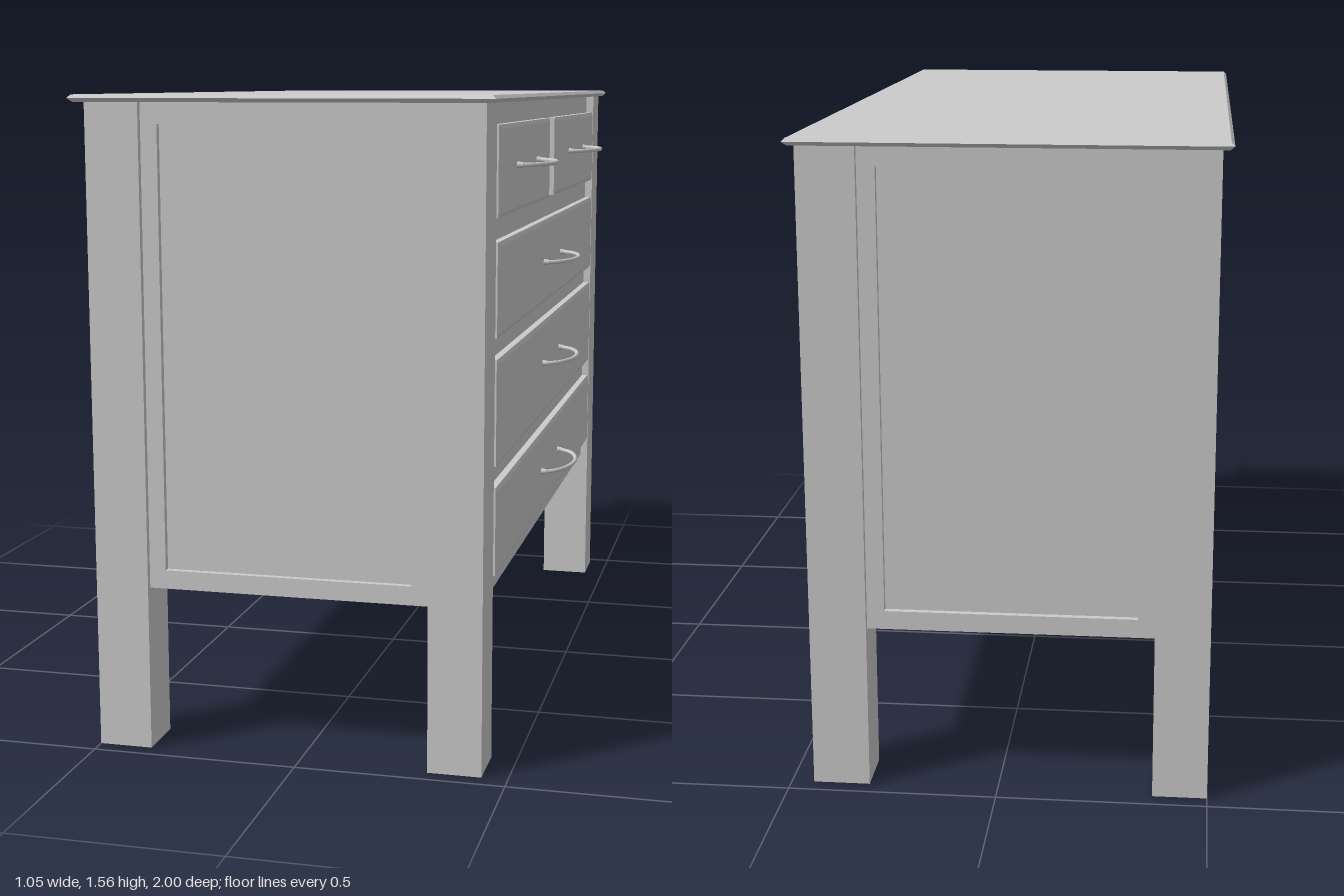
import * as THREE from 'three';
import { ConvexGeometry } from 'three/addons/geometries/ConvexGeometry.js';

const material = new THREE.MeshStandardMaterial({ color: 0xcccccc });

export function createModel() {
  const model = new THREE.Group();

  function add(name, geometry, parent = model) {
    const mesh = new THREE.Mesh(geometry, material);
    mesh.name = name;
    parent.add(mesh);
    return mesh;
  }

  // Box given by its limits on each axis
  function box(name, x0, x1, y0, y1, z0, z1) {
    const g = new THREE.BoxGeometry(x1 - x0, y1 - y0, z1 - z0);
    g.translate((x0 + x1) / 2, (y0 + y1) / 2, (z0 + z1) / 2);
    return add(name, g);
  }

  // Table top: slab with a pointed, chamfered rim
  const rim = [];
  for (const [y, inset] of [[1.54, 0.01], [1.549, 0], [1.557, 0.008]])
    for (const x of [-0.525 + inset, 0.465 - inset])
      for (const z of [-1 + inset, 1 - inset]) rim.push(new THREE.Vector3(x, y, z));
  add('tableTop', new ConvexGeometry(rim));

  // Legs
  for (const side of [1, -1]) {
    const z0 = side > 0 ? 0.832 : -0.96, z1 = side > 0 ? 0.96 : -0.832;
    box('frontLeg', 0.31, side > 0 ? 0.438 : 0.446, 0, 1.54, z0, z1);
    box('backLeg', -0.5, -0.37, 0, 1.54, z0, z1);
  }

  // Carcass, its front forms the rails between the drawers
  box('carcass', -0.465, 0.425, 0.395, 1.54, -0.93, 0.93);
  box('backRail', -0.49, -0.46, 0.395, 0.425, -0.84, 0.84);

  // End frames around the recessed side panels
  const frame = new THREE.Shape([
    [-0.375, 0.395], [0.315, 0.395], [0.315, 1.54], [-0.375, 1.54],
  ].map(p => new THREE.Vector2(...p)));
  frame.holes.push(new THREE.Path([
    [-0.33, 0.44], [-0.33, 1.49], [0.268, 1.49], [0.268, 0.44],
  ].map(p => new THREE.Vector2(...p))));
  for (const z of [0.93, -0.945]) {
    const g = new THREE.ExtrudeGeometry(frame, { depth: 0.015, bevelEnabled: false });
    g.translate(0, 0, z);
    add('sideFrame', g);
  }

  // Bow handle with round feet
  const points = [];
  for (let i = 0; i <= 16; i++) {
    const a = Math.PI * i / 16;
    points.push(new THREE.Vector3(0.444 + 0.071 * Math.sin(a), 0, 0.15 * Math.cos(a)));
  }
  const bow = new THREE.TubeGeometry(new THREE.CatmullRomCurve3(points), 40, 0.0055, 10);
  const foot = new THREE.CylinderGeometry(0.0065, 0.009, 0.016, 14);
  foot.rotateZ(-Math.PI / 2);

  // Drawer fronts: y range, z range, handle height, handle z
  const drawers = [
    [1.28, 1.49, 0.07, 0.83, 1.39, 0.447],
    [1.28, 1.49, -0.833, -0.03, 1.39, -0.443],
    [1.005, 1.225, -0.833, 0.83, 1.115, 0.004],
    [0.705, 0.955, -0.833, 0.83, 0.845, 0.004],
    [0.445, 0.655, -0.833, 0.83, 0.55, 0.004],
  ];
  for (const [y0, y1, z0, z1, hy, hz] of drawers) {
    const corners = [];
    for (const [x, inset] of [[0.4, 0], [0.442, 0], [0.446, 0.01]])
      for (const y of [y0 + inset, y1 - inset])
        for (const z of [z0 + inset, z1 - inset]) corners.push(new THREE.Vector3(x, y, z));
    add('drawerFront', new ConvexGeometry(corners));

    const handle = new THREE.Group();
    handle.name = 'handle';
    handle.position.set(0, hy, hz);
    add('handleBow', bow, handle);
    for (const s of [1, -1]) add('handleFoot', foot, handle).position.set(0.452, 0, s * 0.149);
    model.add(handle);
  }

  return model;
}
